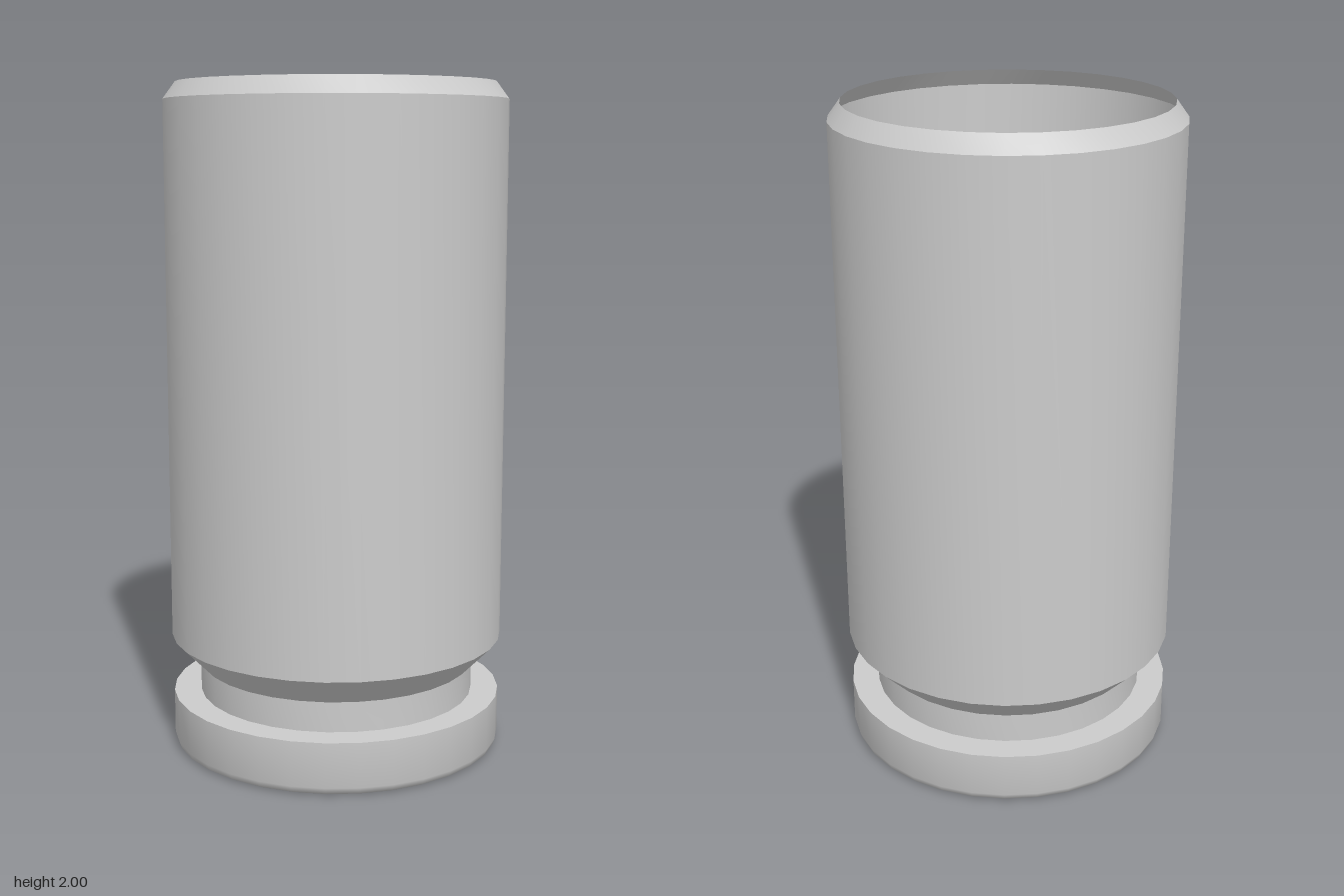
import * as THREE from 'three';
import { toCreasedNormals } from 'three/addons/utils/BufferGeometryUtils.js';

const SIDES = 32;

// Turned part from [radius, height] pairs listed from bottom to top
function turned(name, profile, creaseAngle) {
  const points = profile.map(([r, y]) => new THREE.Vector2(r, y));
  const geometry = toCreasedNormals(new THREE.LatheGeometry(points, SIDES), creaseAngle);
  const material = new THREE.MeshStandardMaterial({ color: 0xcccccc, side: THREE.DoubleSide });
  const mesh = new THREE.Mesh(geometry, material);
  mesh.name = name;
  return mesh;
}

export function createModel() {
  const group = new THREE.Group();
  group.name = 'casing';

  // Solid base disc with a softened lower edge
  group.add(turned('baseFlange', [
    [0, 0], [0.483, 0], [0.497, 0.008], [0.503, 0.025], [0.503, 0.16], [0, 0.16],
  ], 0.85));

  // Thin open shell: groove, sloped shoulder, straight wall, chamfered mouth
  group.add(turned('shell', [
    [0.42, 0.16], [0.42, 0.25], [0.507, 0.34], [0.507, 1.95], [0.47, 2],
  ], 0.5));

  return group;
}
